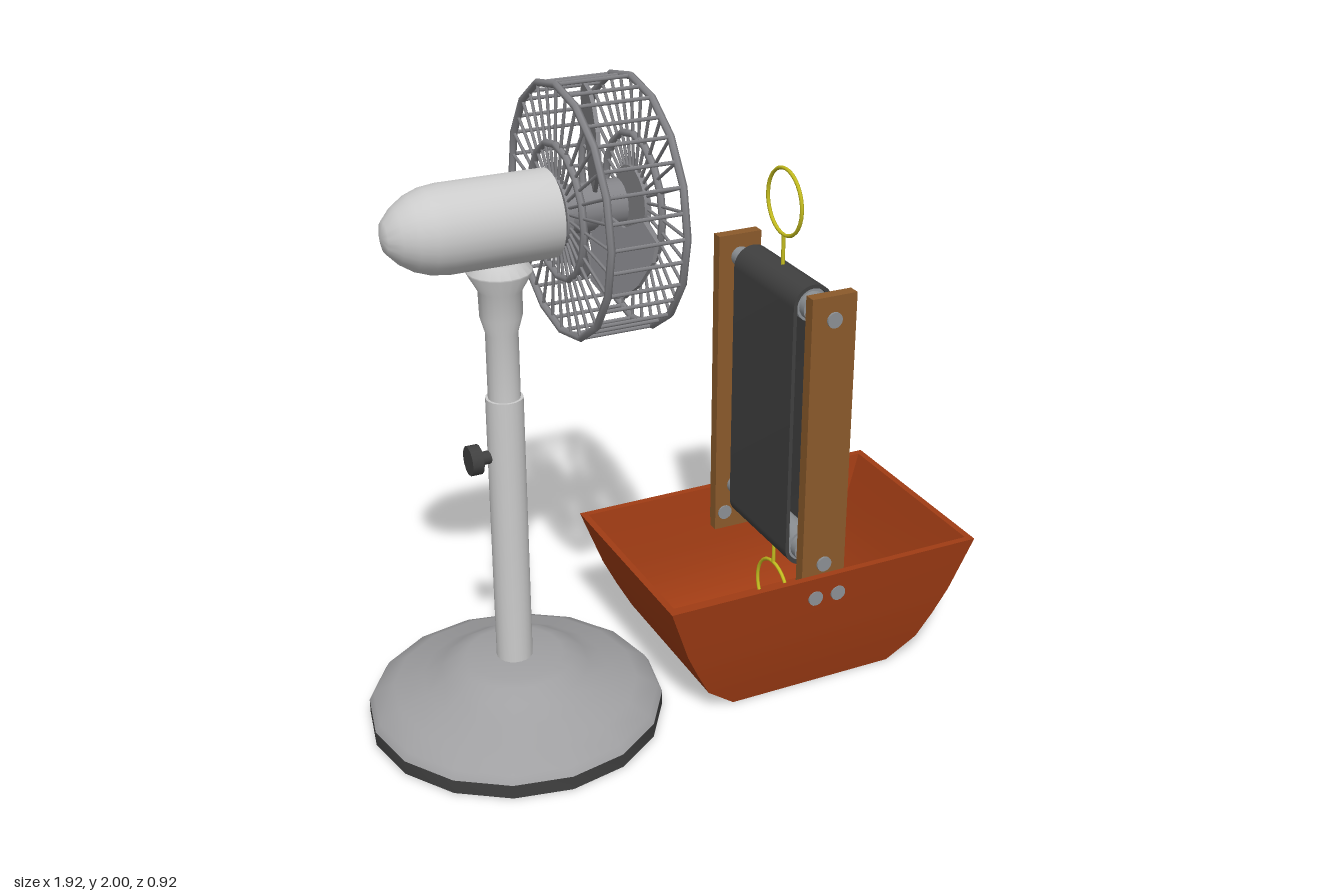
import * as THREE from 'three';
import { mergeGeometries, toCreasedNormals } from 'three/addons/utils/BufferGeometryUtils.js';

const mat = (color, side = THREE.FrontSide) => new THREE.MeshStandardMaterial({ color, side });
const light = mat(0xcccccc), baseGrey = mat(0xa0a0a2), cageGrey = mat(0x848488), dark = mat(0x404040);
const wood = mat(0x8b5a2b), brick = mat(0xa03c14), yellow = mat(0xc8c020), steel = mat(0x8c9094);
const V = (x, y, z) => new THREE.Vector3(x, y, z);

function add(parent, name, geometry, material) {
  const mesh = new THREE.Mesh(geometry, material);
  mesh.name = name;
  parent.add(mesh);
  return mesh;
}

// Cylinder running from point a to point b
function rod(a, b, r, sides = 16) {
  const dir = b.clone().sub(a);
  const g = new THREE.CylinderGeometry(r, r, dir.length(), sides);
  g.applyQuaternion(new THREE.Quaternion().setFromUnitVectors(V(0, 1, 0), dir.clone().normalize()));
  const mid = a.clone().add(b).multiplyScalar(0.5);
  return g.translate(mid.x, mid.y, mid.z);
}

function lathe(points, sides) {
  const g = new THREE.LatheGeometry(points.map(p => new THREE.Vector2(...p)), sides);
  return toCreasedNormals(g, 0.7);
}

function createStand() {
  const stand = new THREE.Group();
  stand.name = 'fanStand';
  stand.position.x = -0.5;
  add(stand, 'baseFoot', lathe([[0, 0], [0.46, 0], [0.46, 0.045]], 16), dark);
  add(stand, 'baseDome', lathe([[0.46, 0.045], [0.445, 0.07], [0.38, 0.105], [0.29, 0.132],
    [0.23, 0.165], [0.185, 0.195], [0.15, 0.205], [0, 0.205]], 16), baseGrey);
  add(stand, 'lowerPole', rod(V(0, 0.2, 0), V(0, 1.085, 0), 0.056, 20), light);
  add(stand, 'upperPole', lathe([[0.048, 1.08], [0.048, 1.29], [0.062, 1.34], [0.064, 1.42],
    [0.095, 1.475], [0.095, 1.48], [0.07, 1.51], [0, 1.51]], 20), light);
  add(stand, 'heightKnob', mergeGeometries([
    rod(V(-0.12, 0.9, 0), V(-0.085, 0.9, 0), 0.045, 12),
    rod(V(-0.09, 0.9, 0), V(-0.05, 0.9, 0), 0.02, 12)]), dark);
  return stand;
}

function createFanHead() {
  const head = new THREE.Group();
  head.name = 'fanHead';
  head.position.y = 1.625;
  const motor = lathe([[0, 0.345], [0.128, 0.345], [0.128, 0.66], [0.122, 0.71], [0.106, 0.755],
    [0.08, 0.795], [0.045, 0.828], [0, 0.84]], 28).rotateZ(Math.PI / 2);
  add(head, 'motorHousing', motor, light);
  add(head, 'shaft', rod(V(-0.35, 0, 0), V(-0.13, 0, 0), 0.07, 20), cageGrey);

  // Three swept blades
  const outline = [[-0.04, 0.05], [-0.14, 0.16], [-0.115, 0.25], [-0.05, 0.305], [0.03, 0.328],
    [0.12, 0.325], [0.17, 0.295], [0.16, 0.21], [0.08, 0.16], [0.03, 0.05]];
  const blade = new THREE.ExtrudeGeometry(new THREE.Shape(outline.map(p => new THREE.Vector2(...p))),
    { depth: 0.012, bevelEnabled: false });
  blade.translate(0, 0, -0.006).rotateY(Math.PI / 2 - 0.26);
  for (let k = 0; k < 3; k++) {
    const mesh = add(head, 'blade', blade, cageGrey);
    mesh.position.x = -0.21;
    mesh.rotation.x = k * Math.PI * 2 / 3;
  }

  // Wire cage: rings, spokes and rim bars
  const parts = [];
  const R = 0.364, count = 32;
  const polar = (x, r, a) => V(x, r * Math.cos(a), r * Math.sin(a));
  const ring = (x, r) => parts.push(
    new THREE.TorusGeometry(r, 0.011, 6, 16).rotateY(Math.PI / 2).translate(x, 0, 0));
  for (const [rim, mid] of [[-0.09, -0.084], [-0.315, -0.321]]) {
    ring(rim, R);
    ring(mid, 0.195);
    for (let i = 0; i < count; i++) {
      const a = i / count * Math.PI * 2;
      const flat = i % 2 ? Math.cos(Math.PI / 16) : 1;
      parts.push(rod(polar(mid, 0.09, a), polar(mid, 0.195 * flat, a), 0.005, 5));
      parts.push(rod(polar(mid, 0.195 * flat, a), polar(rim, R * flat, a), 0.005, 5));
    }
  }
  for (let i = 0; i < count; i++) {
    const a = i / count * Math.PI * 2, r = R * (i % 2 ? Math.cos(Math.PI / 16) : 1);
    parts.push(rod(polar(-0.315, r, a), polar(-0.09, r, a), 0.006, 5));
  }
  add(head, 'cage', mergeGeometries(parts), cageGrey);
  add(head, 'frontCap', rod(V(-0.095, 0, 0), V(-0.075, 0, 0), 0.103, 20), cageGrey);
  add(head, 'rearCap', rod(V(-0.33, 0, 0), V(-0.312, 0, 0), 0.103, 20), cageGrey);
  return head;
}

// Hollow tub lofted from rectangles: up the outside, over the rim, down the inside
function createTub() {
  const sections = [[0, 0, 0], [0, 0.285, 0.27], [0.075, 0.382, 0.288], [0.16, 0.428, 0.306],
    [0.25, 0.472, 0.322], [0.435, 0.54, 0.35], [0.435, 0.518, 0.328], [0.25, 0.448, 0.3],
    [0.16, 0.404, 0.28], [0.085, 0.36, 0.245], [0.06, 0.34, 0.225], [0.06, 0, 0]];
  const corners = [[1, 1], [1, -1], [-1, -1], [-1, 1]];
  const pos = [];
  const at = (s, c) => [sections[s][1] * corners[c % 4][0], sections[s][0], sections[s][2] * corners[c % 4][1]];
  for (let s = 0; s < sections.length - 1; s++) {
    for (let c = 0; c < 4; c++) {
      const a = at(s, c), b = at(s, c + 1), d = at(s + 1, c), e = at(s + 1, c + 1);
      if (s > 0) pos.push(...a, ...b, ...e);
      if (s < sections.length - 2) pos.push(...a, ...e, ...d);
    }
  }
  // Bottom and floor centres close as single triangles
  for (let c = 0; c < 4; c++) pos.push(...at(0, c), ...at(1, c + 1), ...at(1, c));
  const g = new THREE.BufferGeometry();
  g.setAttribute('position', new THREE.Float32BufferAttribute(pos, 3));
  return toCreasedNormals(g, 0.5);
}

// Racetrack outline around the two rollers
function track(path, r, low, high) {
  path.moveTo(r, low);
  path.lineTo(r, high);
  path.absarc(0, high, r, 0, Math.PI, false);
  path.lineTo(-r, low);
  path.absarc(0, low, r, Math.PI, Math.PI * 2, false);
  return path;
}

function createBeltBoat() {
  const boat = new THREE.Group();
  boat.name = 'beltBoat';
  boat.position.x = 0.415;
  const low = 0.46, high = 1.28;
  add(boat, 'tub', createTub(), brick);

  // Side posts with bolt heads
  for (const s of [1, -1]) {
    const post = add(boat, 'post', new THREE.BoxGeometry(0.15, 1.055, 0.038), wood);
    post.position.set(0, 0.8275, s * 0.294);
    for (const y of [low, high])
      add(boat, 'axleBolt', rod(V(0, y, s * 0.28), V(0, y, s * 0.32), 0.025), steel);
    for (const x of [-0.04, 0.04])
      add(boat, 'tubBolt', rod(V(x, 0.36, s * 0.27), V(x, 0.36, s * 0.345), 0.025), steel);
  }

  // Rollers and their stepped axles
  for (const y of [low, high]) {
    add(boat, 'roller', mergeGeometries([
      rod(V(0, y, -0.185), V(0, y, 0.185), 0.053, 20),
      rod(V(0, y, -0.212), V(0, y, 0.212), 0.045, 20),
      rod(V(0, y, -0.28), V(0, y, 0.28), 0.032, 16)]), steel);
  }

  // Belt loop
  const shape = track(new THREE.Shape(), 0.066, low, high);
  shape.holes.push(track(new THREE.Path(), 0.054, low, high));
  const belt = new THREE.ExtrudeGeometry(shape, { depth: 0.38, bevelEnabled: false, curveSegments: 14 });
  add(boat, 'belt', toCreasedNormals(belt.translate(0, 0, -0.19), 0.6), dark);

  // Wire loops above and below the belt
  for (const s of [1, -1]) {
    const edge = s > 0 ? high + 0.06 : low - 0.06;
    const loop = new THREE.TorusGeometry(0.104, 0.006, 6, 32).rotateY(Math.PI / 2);
    loop.translate(0, edge + s * 0.205, 0);
    add(boat, 'wireLoop', mergeGeometries([loop,
      rod(V(0, edge, 0), V(0, edge + s * 0.104, 0), 0.006, 6)]), yellow);
  }
  return boat;
}

export function createModel() {
  const model = new THREE.Group();
  model.name = 'fanAndBeltBoat';
  model.add(createStand(), createFanHead(), createBeltBoat());
  return model;
}
